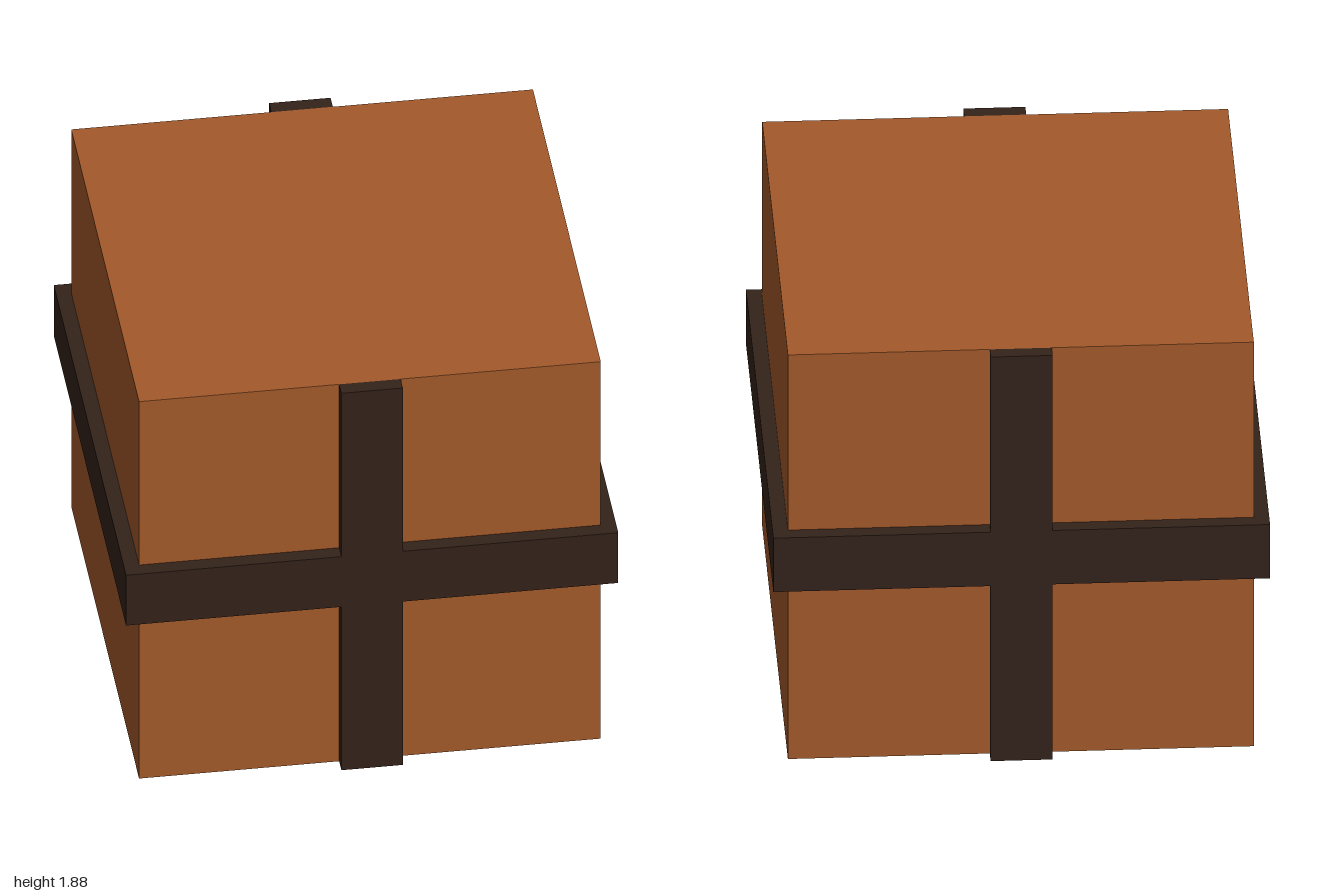
import * as THREE from 'three';

export function createModel() {
  const group = new THREE.Group();
  const wood = new THREE.MeshStandardMaterial({ color: 0xa35a2a });
  const dark = new THREE.MeshStandardMaterial({ color: 0x33221a });

  const SIZE = 1.876, WIDTH = 0.25, OUTER = 2;
  const mid = SIZE / 2;
  const depth = (OUTER - SIZE) / 2;

  function addBox(name, material, size, position) {
    const mesh = new THREE.Mesh(new THREE.BoxGeometry(...size), material);
    mesh.name = name;
    mesh.position.set(...position);
    group.add(mesh);
  }

  // Crate body
  addBox('body', wood, [SIZE, SIZE, SIZE], [0, mid, 0]);

  // Band running all the way round the middle
  addBox('horizontalBand', dark, [OUTER, WIDTH, OUTER], [0, mid, 0]);

  // Upright straps on front and back, meeting the band above and below
  const length = (SIZE - WIDTH) / 2;
  for (const z of [1, -1]) {
    for (const y of [1, -1]) {
      const name = (z > 0 ? 'front' : 'back') + (y > 0 ? 'Upper' : 'Lower') + 'Strap';
      addBox(name, dark, [WIDTH, length, depth],
        [0, mid + y * (WIDTH + length) / 2, z * (SIZE + depth) / 2]);
    }
  }
  return group;
}
